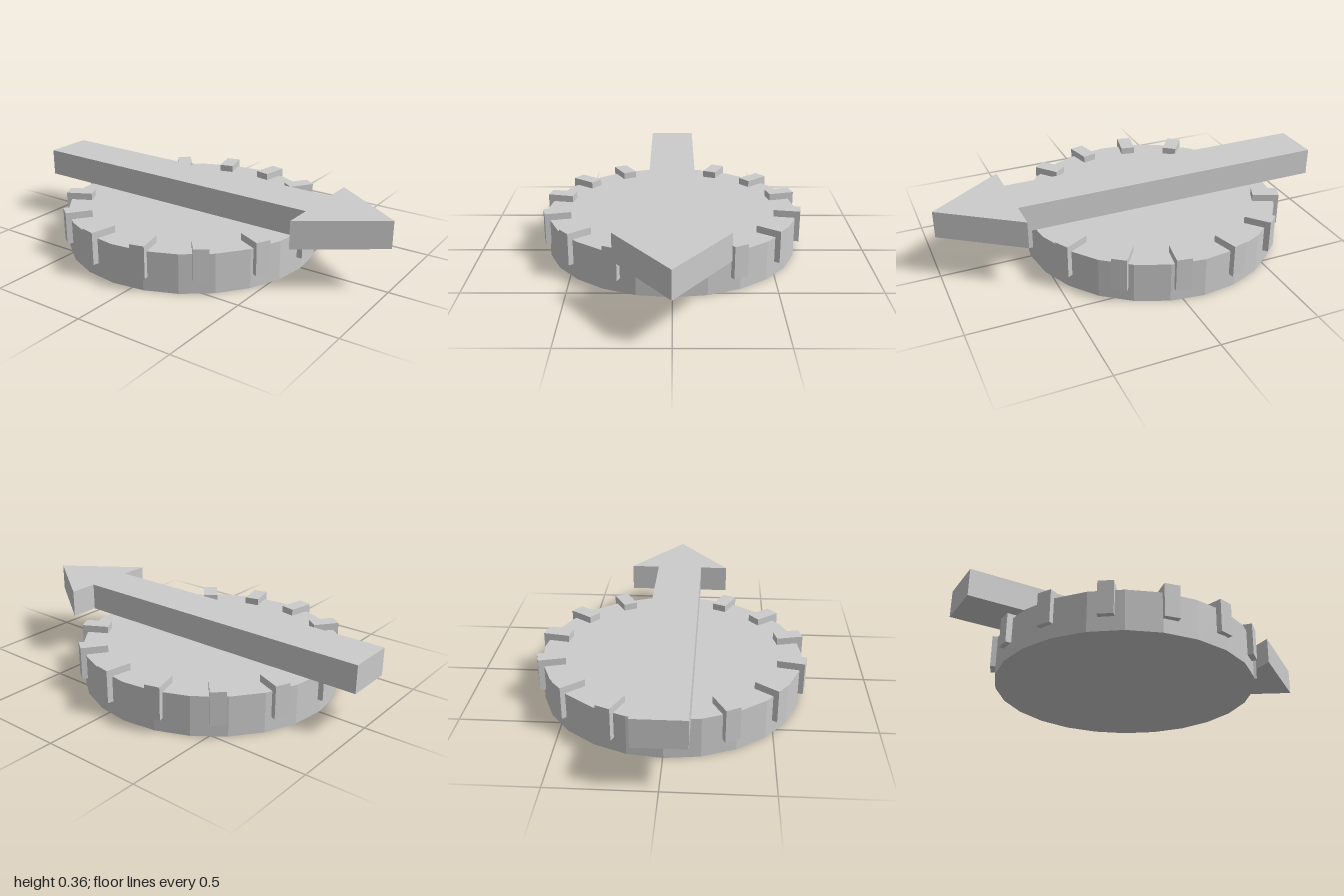
import * as THREE from 'three';

const CENTER_X = -0.003, CENTER_Z = -0.108;

export function createModel() {
  const model = new THREE.Group();
  model.name = 'dialPointer';
  const material = new THREE.MeshStandardMaterial({ color: 0xcccccc, flatShading: true });
  const add = (parent, name, geometry) => {
    const mesh = new THREE.Mesh(geometry, material);
    mesh.name = name;
    parent.add(mesh);
    return mesh;
  };

  // Faceted round base with its centre set slightly back
  const dial = new THREE.Group();
  dial.name = 'dial';
  dial.position.set(CENTER_X, 0, CENTER_Z);
  model.add(dial);
  add(dial, 'disc', new THREE.CylinderGeometry(0.65, 0.65, 0.2, 24).translate(0, 0.1, 0));

  // Grip blocks, stepped round the rim from the front; the last gap is a little wider
  const block = new THREE.BoxGeometry(0.075, 0.165, 0.135).translate(0, 0.153, 0.606);
  const step = THREE.MathUtils.degToRad(25.47);
  for (let i = 0; i < 14; i++) {
    add(dial, 'gripBlock', block).rotation.y = -i * step;
  }

  // Arrow lying just above the disc, tip to the front
  const outline = [
    [-0.125, -1], [0.119, -1], [0.119, 0.62], [0.267, 0.62],
    [-0.002, 1], [-0.27, 0.62], [-0.125, 0.62],
  ].map(([x, z]) => new THREE.Vector2(x, -z));
  const arrow = new THREE.ExtrudeGeometry(new THREE.Shape(outline), { depth: 0.138, bevelEnabled: false });
  arrow.rotateX(-Math.PI / 2).translate(0, 0.22, 0);
  add(model, 'arrow', arrow);

  return model;
}
